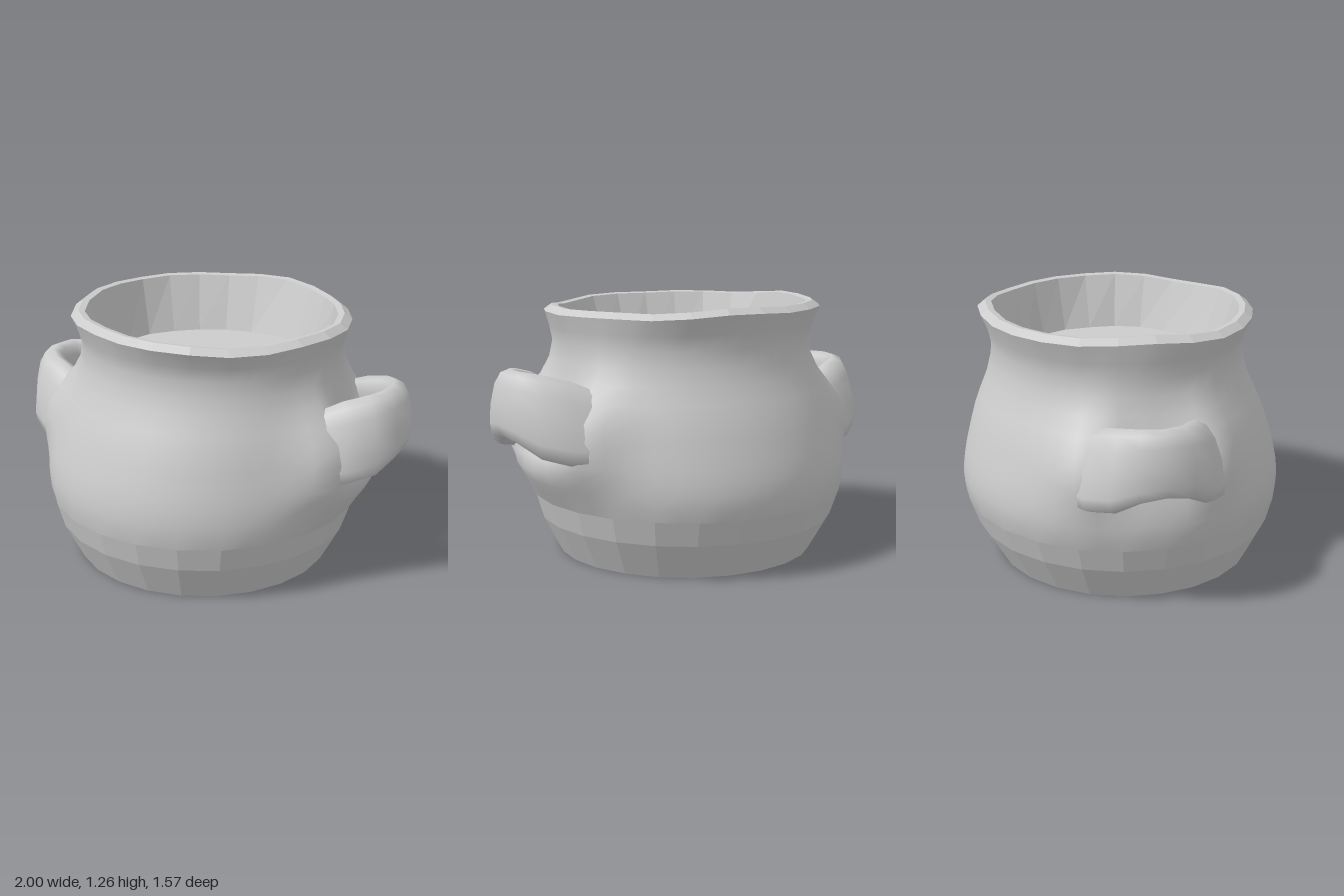
import * as THREE from 'three';

const SIDES = 24;

// Skin a stack of closed point loops with an indexed surface.
function loft(rings) {
  const n = rings[0].length;
  const pos = rings.flat().flatMap((p) => [p.x, p.y, p.z]);
  const index = [];
  for (let i = 0; i < rings.length - 1; i++) {
    for (let j = 0; j < n; j++) {
      const a = i * n + j, b = i * n + ((j + 1) % n);
      index.push(a, a + n, b, b, a + n, b + n);
    }
  }
  const g = new THREE.BufferGeometry();
  g.setAttribute('position', new THREE.Float32BufferAttribute(pos, 3));
  g.setIndex(index);
  g.computeVertexNormals();
  return g;
}

const bell = (v, mid, width) => Math.exp(-(((v - mid) / width) ** 2));

// How far the wall swells out around the handle roots, and under the left handle.
function swell(y, c, s) {
  const d = Math.abs(c > 0 ? s : s + 0.06);
  const roots = (c > 0 ? 0.135 : 0.095) * bell(y, 0.69, 0.19) * bell(d, 0.34, d < 0.34 ? 0.11 : 0.2);
  const shelf = c > 0 ? 0.1 * bell(y, 0.5, 0.12) * bell(s, 0, 0.42) : 0;
  return roots + shelf;
}

// Horizontal ring of the pot; the hand-made body leans and has a wavy rim.
function potRing(y, r, sides) {
  const t = THREE.MathUtils.smoothstep(y, 0.4, 1.05);
  const cx = THREE.MathUtils.lerp(-0.05, -0.01, t);
  const cz = y < 0.4 ? 0.02 * (1 - y / 0.4) : -0.008 * t;
  const wide = 1 + 0.055 * t * (y > 1.15 ? 0.4 : 1);
  const wave = THREE.MathUtils.smoothstep(y, 1.1, 1.2);
  return Array.from({ length: sides }, (_, j) => {
    const a = (j / sides) * Math.PI * 2;
    const c = Math.cos(a), s = Math.sin(a);
    const rr = r + (y > 0.3 && y < 1.1 ? swell(y, c, s) : 0) + wave * 0.008 * Math.sin(5 * a + 1);
    const dy = wave * (-0.01 * c - 0.008 * s + 0.006 * Math.cos(4 * a - 0.6) - 0.004 * Math.cos(7 * a));
    return new THREE.Vector3(cx + rr * wide * c, y + dy, cz + rr * s);
  });
}

// Move every second point of a ring onto the chord, so it meets a ring with half the sides.
function matchCoarse(ring) {
  for (let j = 1; j < ring.length; j += 2) {
    ring[j].lerpVectors(ring[j - 1], ring[(j + 1) % ring.length], 0.5);
  }
}

// Strap handle: rounded section swept along an arch in plan, melting into the body at both ends.
function handleGeometry() {
  // x, z, y, half thickness, half height, inward lean of the section
  const half = [
    [0.53, 0.34, 0.7, 0.04, 0.11, 0.4],
    [0.64, 0.3, 0.71, 0.06, 0.16, 0.35],
    [0.75, 0.245, 0.735, 0.08, 0.185, 0.28],
    [0.855, 0.18, 0.765, 0.075, 0.185, 0.2],
    [0.905, 0.1, 0.797, 0.07, 0.163, 0.14],
  ];
  const stations = [...half, [0.925, 0, 0.808, 0.067, 0.153, 0.12],
    ...half.map(([x, z, ...rest]) => [x, -z, ...rest]).reverse()];
  const rings = stations.map(([x, z, y, t, h, lean], i) => {
    const p = stations[Math.max(i - 1, 0)], q = stations[Math.min(i + 1, stations.length - 1)];
    const out = new THREE.Vector3(-(q[1] - p[1]), 0, q[0] - p[0]).normalize();
    return Array.from({ length: 12 }, (_, j) => {
      const a = (j / 12) * Math.PI * 2;
      const c = Math.cos(a), s = Math.sin(a);
      const u = Math.sign(c) * Math.abs(c) ** 0.75 * t;
      const v = Math.sign(s) * Math.abs(s) ** 0.8 * h;
      return new THREE.Vector3(x, y + v, z).addScaledVector(out, u - lean * v);
    });
  });
  return loft(rings);
}

export function createModel() {
  const pot = new THREE.Group();
  pot.name = 'pot';
  const smooth = new THREE.MeshStandardMaterial({ color: 0xcccccc, side: THREE.DoubleSide });
  const flat = new THREE.MeshStandardMaterial({ color: 0xcccccc, side: THREE.DoubleSide, flatShading: true });
  const add = (name, geometry, material) => {
    const mesh = new THREE.Mesh(geometry, material);
    mesh.name = name;
    pot.add(mesh);
    return mesh;
  };
  const rings = (profile, sides = SIDES) => profile.map(([y, r]) => potRing(y, r, sides));
  const skin = (profile) => loft(rings(profile));

  // Faceted foot
  add('lowerBody', skin([[0, 0.64], [0.18, 0.735], [0.3, 0.772]]), flat);

  // Smooth belly, neck and flared lip
  const belly = rings([
    [0.3, 0.772], [0.36, 0.782], [0.42, 0.784], [0.48, 0.778], [0.54, 0.766], [0.6, 0.75],
    [0.66, 0.733], [0.74, 0.708], [0.82, 0.675], [0.9, 0.64], [0.98, 0.618], [1.06, 0.609],
    [1.13, 0.625], [1.21, 0.667],
  ], SIDES * 2);
  matchCoarse(belly[0]);
  matchCoarse(belly[belly.length - 1]);
  add('upperBody', loft(belly), smooth);

  // Bevelled rim and inner wall
  add('rim', skin([[1.21, 0.667], [1.237, 0.63], [1.232, 0.6]]), flat);
  add('innerWall', skin([[1.232, 0.6], [0.96, 0.515]]), flat);

  // Flat discs closing the inside and the underside
  const disc = (y, r) => skin([[y, r], [y, 0.0001]]);
  add('contents', disc(0.96, 0.515), flat);
  add('base', disc(0, 0.64), flat);

  // Pair of handles, one sitting slightly lower
  const handle = handleGeometry();
  add('leftHandle', handle, smooth).position.set(0.005, 0, -0.01);
  const right = add('rightHandle', handle, smooth);
  right.rotation.y = Math.PI;
  right.position.set(-0.005, -0.04, -0.045);

  return pot;
}
